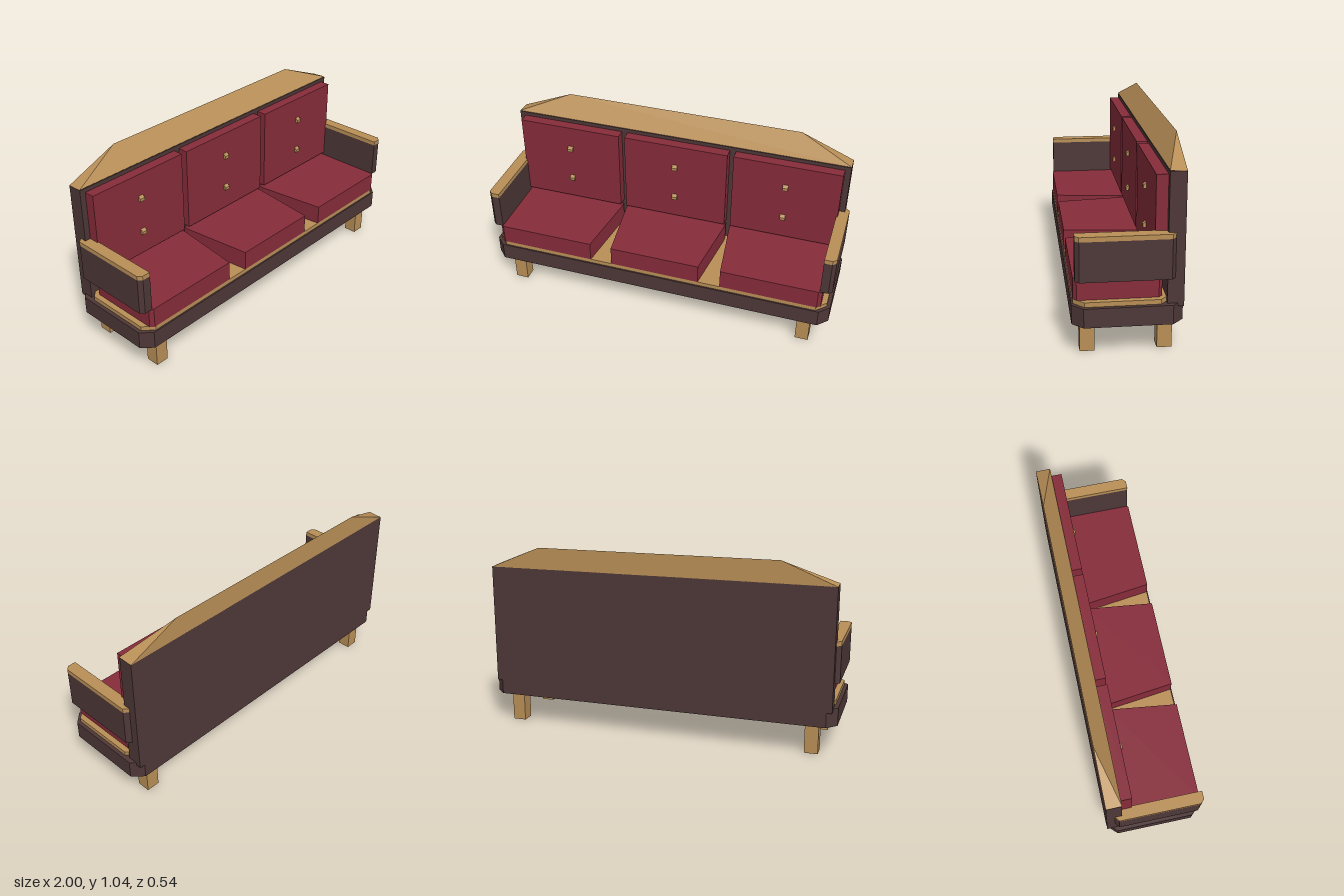
import * as THREE from 'three';
import { ConvexGeometry } from 'three/addons/geometries/ConvexGeometry.js';

const mat = (name, color) => {
  const m = new THREE.MeshStandardMaterial({ color });
  m.name = name;
  return m;
};

export function createModel() {
  const sofa = new THREE.Group();
  sofa.name = 'sofa';
  const frame = mat('dark frame', 0x4e3737);
  const wood = mat('golden wood', 0xb98f57);
  const fabric = mat('red fabric', 0x862c3a);

  const add = (name, geometry, material) => {
    const mesh = new THREE.Mesh(geometry, material);
    mesh.name = name;
    sofa.add(mesh);
    return mesh;
  };
  const box = (name, x0, x1, y0, y1, z0, z1, material) => {
    const g = new THREE.BoxGeometry(x1 - x0, y1 - y0, z1 - z0);
    g.translate((x0 + x1) / 2, (y0 + y1) / 2, (z0 + z1) / 2);
    return add(name, g, material);
  };
  // Flat slab from a plan outline of [x, z] points; s = -1 mirrors it
  const slab = (name, pts, y0, y1, material, s = 1) => {
    const shape = new THREE.Shape(pts.map(([x, z]) => new THREE.Vector2(s * x, -z)));
    const g = new THREE.ExtrudeGeometry(shape, { depth: y1 - y0, bevelEnabled: false });
    g.rotateX(-Math.PI / 2).translate(0, y0, 0);
    return add(name, g, material);
  };
  // Rectangle outline with all four corners cut
  const cutRect = (x, z0, z1, cx, cz) => [
    [-x, z0 + cz], [-x + cx, z0], [x - cx, z0], [x, z0 + cz],
    [x, z1 - cz], [x - cx, z1], [-x + cx, z1], [-x, z1 - cz],
  ];

  // Base and seat rail
  slab('base', cutRect(1, -0.27, 0.27, 0.055, 0.055), 0.168, 0.267, frame);
  slab('seatRail', cutRect(0.98, -0.21, 0.262, 0.055, 0.052), 0.267, 0.291, wood);

  // Backrest panel and the sloping crest above it
  box('backrest', -0.975, 0.975, 0.25, 0.922, -0.27, -0.188, frame);
  const crest = [];
  for (const s of [-1, 1]) {
    crest.push(
      new THREE.Vector3(s * 0.975, 0.926, -0.188),
      new THREE.Vector3(s * 0.975, 0.921, -0.27),
      new THREE.Vector3(s * 0.68, 1.042, -0.27));
  }
  add('crest', new ConvexGeometry(crest), wood);

  // Arms with wooden caps, and legs
  const arm = [[0.935, -0.225], [0.975, -0.225], [1, -0.205], [1, 0.235], [0.98, 0.255], [0.935, 0.255]];
  for (const s of [-1, 1]) {
    slab('arm', arm, 0.4, 0.602, frame, s);
    slab('armCap', arm, 0.602, 0.626, wood, s);
    for (const z of [-0.19, 0.192]) {
      const x = s * 0.867;
      box('leg', x - 0.037, x + 0.037, 0, 0.168, z - 0.037, z + 0.037, wood);
    }
  }

  // Seat cushions, narrower at the front where they meet
  const outer = [[0.385, 0.262], [0.93, 0.262], [0.95, 0.245], [0.95, -0.152], [0.93, -0.17],
    [0.335, -0.17], [0.335, -0.13]];
  slab('seatCushion', outer, 0.291, 0.402, fabric, -1);
  slab('seatCushion', outer, 0.291, 0.402, fabric, 1);
  slab('seatCushion', [[-0.258, 0.262], [0.258, 0.262], [0.305, -0.13], [0.305, -0.17],
    [-0.305, -0.17], [-0.305, -0.13]], 0.291, 0.402, fabric);

  // Back cushions with two wedge-shaped buttons each
  const wedge = new THREE.Shape([[0.135, -0.015], [-0.115, 0], [0, 0]].length && [
    new THREE.Vector2(0.14, 0), new THREE.Vector2(0.115, 0),
    new THREE.Vector2(0.115, 0.017), new THREE.Vector2(0.13, 0.031), new THREE.Vector2(0.14, 0.031),
  ]);
  for (const [x0, x1] of [[-0.943, -0.338], [-0.303, 0.303], [0.338, 0.943]]) {
    box('backCushion', x0, x1, 0.42, 0.9, -0.188, -0.13, fabric);
    for (const y of [0.745, 0.541]) {
      const g = new THREE.ExtrudeGeometry(wedge, { depth: 0.03, bevelEnabled: false });
      g.translate(0, 0, -0.015).rotateY(Math.PI / 2);
      add('button', g, wood).position.set((x0 + x1) / 2, y, 0);
    }
  }
  return sofa;
}
